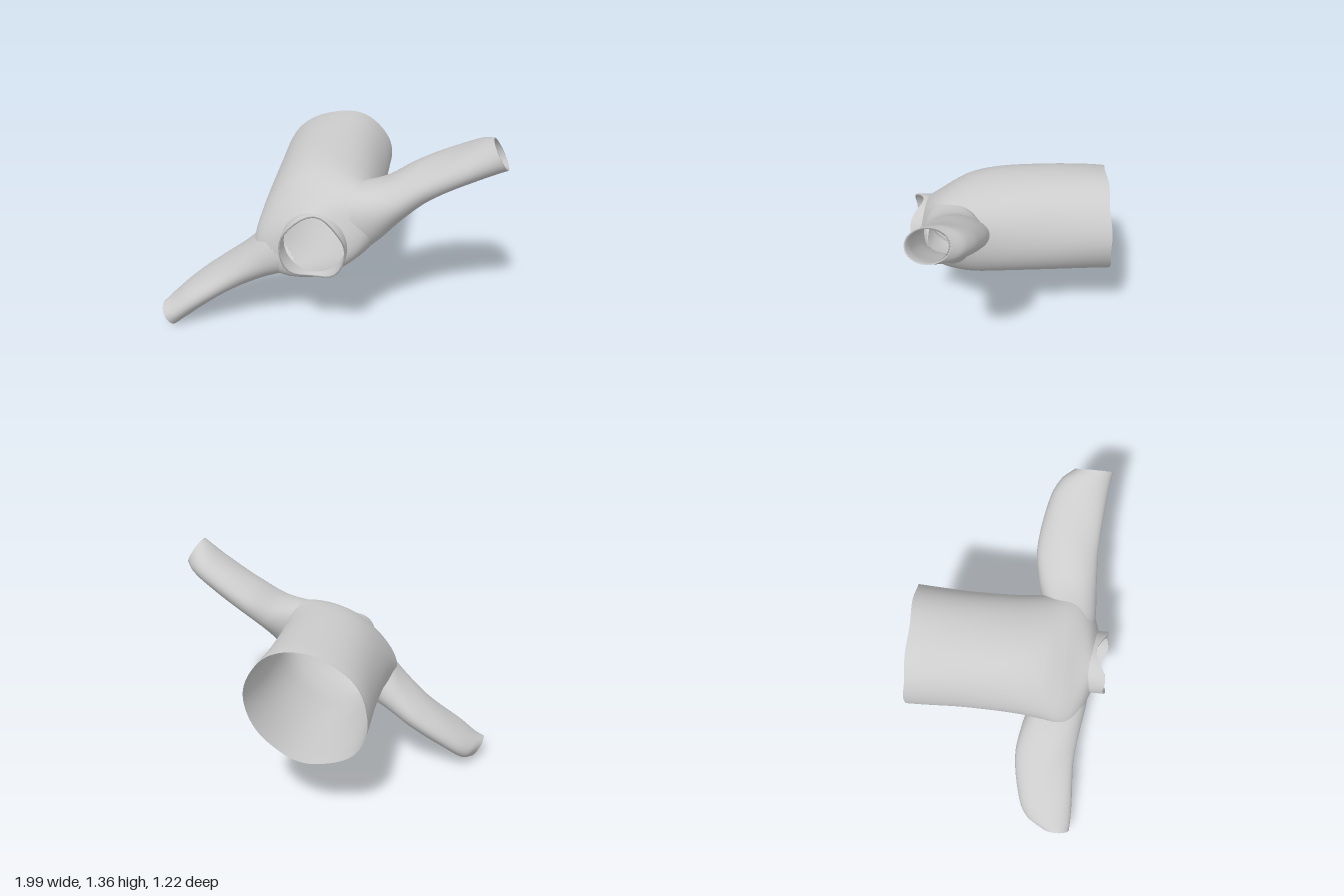
import * as THREE from 'three';

const material = new THREE.MeshStandardMaterial({ color: 0xcccccc, side: THREE.DoubleSide });
const TILT = 0.54; // slope of the sleeve line
const COS = Math.cos(TILT), SIN = Math.sin(TILT);

// Torso sections from hem to neck, leaning with the sleeves:
// z, centre x, centre y, radius along the sleeves, radius on the upper side, on the lower side
const TORSO = [
  [-0.60, -0.04, 0.754, 0.366, 0.315, 0.315], [-0.50, -0.04, 0.755, 0.362, 0.32, 0.318],
  [-0.25, -0.035, 0.75, 0.352, 0.328, 0.32], [0.05, -0.03, 0.74, 0.358, 0.325, 0.315],
  [0.22, -0.03, 0.738, 0.378, 0.295, 0.312], [0.34, -0.03, 0.735, 0.405, 0.243, 0.288],
  [0.42, -0.025, 0.725, 0.385, 0.213, 0.245], [0.48, -0.02, 0.715, 0.30, 0.195, 0.208],
  [0.52, -0.02, 0.71, 0.19, 0.18, 0.18],
];
// Sleeve sections from shoulder to cuff: |x|, centre y, half thickness, back z, front z
const LEFT = [
  [0.15, 0.81, 0.225, 0.19, 0.495], [0.25, 0.857, 0.182, 0.18, 0.495],
  [0.40, 0.94, 0.122, 0.13, 0.48], [0.55, 1.045, 0.102, 0.105, 0.467],
  [0.80, 1.19, 0.095, 0.15, 0.48], [0.90, 1.25, 0.095, 0.205, 0.49], [0.953, 1.28, 0.09, 0.275, 0.50],
];
const RIGHT = [
  [0.15, 0.63, 0.21, 0.18, 0.50], [0.25, 0.575, 0.165, 0.165, 0.50],
  [0.40, 0.472, 0.116, 0.12, 0.48], [0.57, 0.35, 0.092, 0.097, 0.465],
  [0.80, 0.185, 0.085, 0.148, 0.485], [0.90, 0.105, 0.08, 0.21, 0.49], [0.953, 0.068, 0.078, 0.31, 0.49],
];

// Smooth lookup in a section table, keyed on its first column
function section(table, key) {
  const last = table.length - 1;
  const k = Math.min(Math.max(key, table[0][0]), table[last][0]);
  let i = 0;
  while (i < last - 1 && table[i + 1][0] < k) i++;
  const a = table[i], b = table[i + 1], p = table[Math.max(i - 1, 0)], q = table[Math.min(i + 2, last)];
  const w = b[0] - a[0], t = (k - a[0]) / w;
  return a.map((v, c) => {
    const m0 = (b[c] - p[c]) / (b[0] - p[0]) * w, m1 = (q[c] - v) / (q[0] - a[0]) * w;
    return v * (2 * t ** 3 - 3 * t * t + 1) + m0 * (t ** 3 - 2 * t * t + t)
      + b[c] * (3 * t * t - 2 * t ** 3) + m1 * (t ** 3 - t * t);
  });
}

// Surface through rings; faces for which hidden(centre) holds are left out
function loft(name, rows, cols, point, hidden = () => false) {
  const pos = [], index = [];
  for (let r = 0; r <= rows; r++)
    for (let c = 0; c < cols; c++) pos.push(...point(r / rows, c / cols * Math.PI * 2));
  const vertex = i => new THREE.Vector3().fromArray(pos, i * 3);
  for (let r = 0; r < rows; r++) {
    for (let c = 0; c < cols; c++) {
      const n = (c + 1) % cols;
      const a = r * cols + c, b = r * cols + n, d = a + cols, e = b + cols;
      const mid = vertex(a).add(vertex(e)).multiplyScalar(0.5);
      if (!hidden(mid)) index.push(a, b, e, a, e, d);
    }
  }
  const geometry = new THREE.BufferGeometry();
  geometry.setAttribute('position', new THREE.Float32BufferAttribute(pos, 3));
  geometry.setIndex(index);
  geometry.computeVertexNormals();
  const mesh = new THREE.Mesh(geometry, material);
  mesh.name = name;
  return mesh;
}

function torsoPoint(v, t) {
  const z = -0.6 + 1.12 * v;
  const [, cx, cy, along, up, down] = section(TORSO, z);
  // Soft lengthwise folds, a slanted hem and a neck edge set back on the upper side
  const fold = 1 + 0.01 * Math.sin(5 * t + 3 * z) * Math.min(1, (1 - v) * 4);
  const hem = (0.008 + 0.02 * Math.sin(t + TILT) + 0.004 * Math.sin(7 * t)) * Math.max(0, 1 - v * 4);
  const neck = -0.03 * Math.sin(t) * Math.max(0, v * 6 - 5);
  const a = along * fold * Math.cos(t);
  const n = (Math.sin(t) > 0 ? up : down) * fold * Math.sin(t);
  return [cx + COS * a - SIN * n, cy + SIN * a + COS * n, z + hem + neck];
}

function insideTorso(p) {
  const [, cx, cy, along, up, down] = section(TORSO, p.z);
  const a = COS * (p.x - cx) + SIN * (p.y - cy), n = COS * (p.y - cy) - SIN * (p.x - cx);
  return Math.hypot(a / along, n / (n > 0 ? up : down)) < 0.95;
}

// Flattened sleeve ring at |x| = u, leaning along the sleeve line
function sleevePoint(table, side, u, t, scale = 1) {
  const [, cy, h, back, front] = section(table, u);
  const fold = scale * (1 + 0.03 * Math.sin(3 * t + 14 * u) * Math.min(1, (0.96 - u) * 5));
  const n = h * fold * Math.cos(t);
  const z = (back + front) / 2 + (front - back) / 2 * scale * Math.sin(t);
  return [side * u - SIN * n, cy + COS * n, z];
}

function insideSleeve(table, side, p) {
  let u = p.x * side;
  if (u < 0.05) return false;
  for (let i = 0; i < 6; i++) {
    const cy = section(table, u)[1];
    u += COS * (COS * (p.x * side - u) + SIN * side * (p.y - cy)) * 0.8;
  }
  const [, cy, h, back, front] = section(table, u);
  const n = -SIN * (p.x - side * u) + COS * (p.y - cy);
  return u > 0.17 && Math.hypot(n / h, (p.z - (back + front) / 2) / ((front - back) / 2)) < 0.9;
}

export function createModel() {
  const group = new THREE.Group();
  group.name = 'pullover';
  const sleeves = [['left', LEFT, 1], ['right', RIGHT, -1]];

  // Body, opened where the sleeves join
  group.add(loft('torso', 110, 120, torsoPoint,
    p => sleeves.some(([, table, side]) => insideSleeve(table, side, p))));

  for (const [name, table, side] of sleeves) {
    // Sleeve, trimmed inside the body
    group.add(loft(name + 'Sleeve', 80, 64,
      (v, t) => sleevePoint(table, side, 0.15 + 0.803 * v, -t * side), insideTorso));
    // Turned-in cuff edge
    group.add(loft(name + 'Cuff', 2, 40,
      (v, t) => sleevePoint(table, side, v === 1 ? 0.91 : 0.953, -t * side, v === 0 ? 1 : 0.9)));
  }

  // Standing collar: outer wall, rim, inner wall, with raised points and a low back
  const collar = [[0.19, 0], [0.19, 1], [0.178, 1], [0.178, 0]];
  group.add(loft('collar', 3, 32, (v, t) => {
    const [r, raised] = collar[Math.round(v * 3)];
    const s = Math.sin(t);
    const top = 0.597 - 0.018 * Math.cos(4 * t) - 0.045 * s * s - 0.02 * s;
    return [-0.02 + r * Math.cos(t), 0.712 + r * 0.97 * s, raised ? top : 0.49 - 0.03 * s];
  }));
  return group;
}
